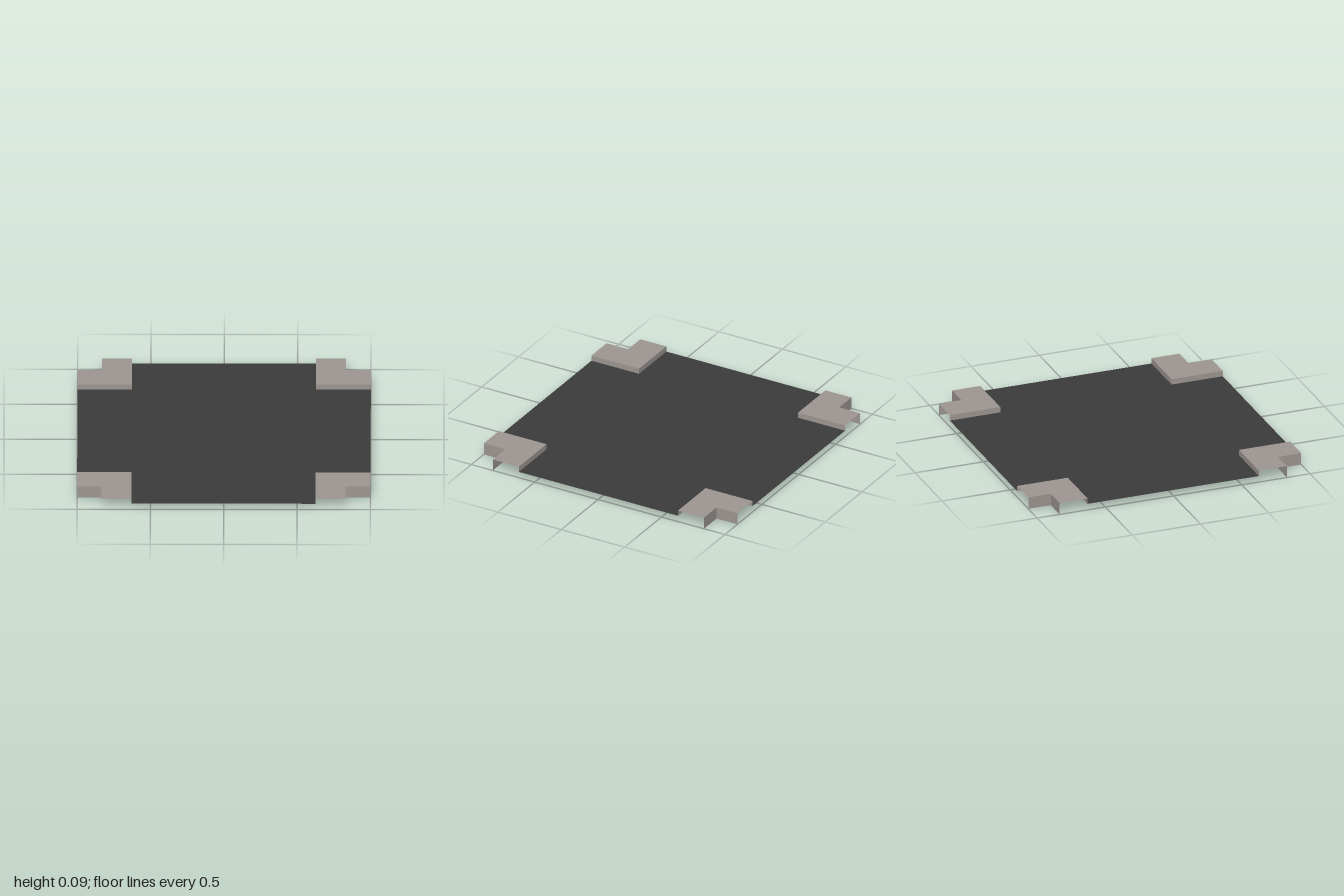
import * as THREE from 'three';

const FLOOR_Y = 0.045, TOP_Y = 0.085;

const floorMat = new THREE.MeshStandardMaterial({ color: 0x3b3b3b, side: THREE.DoubleSide });
floorMat.name = 'charcoal';
const stoneMat = new THREE.MeshStandardMaterial({ color: 0x9d9692, side: THREE.DoubleSide });
stoneMat.name = 'warm grey';

// distances from the centre to the inner edge of a corner tile and to its notch
const inner = s => s * (s < 0 ? 0.63 : 0.625);
const notch = s => s * (s < 0 ? 0.835 : 0.83);

function add(group, name, geometry, material) {
  const mesh = new THREE.Mesh(geometry, material);
  mesh.name = name;
  group.add(mesh);
}

// flat upward-facing sheet from [x, z] outline points
function sheet(points, y) {
  const shape = new THREE.Shape(points.map(([x, z]) => new THREE.Vector2(x, -z)));
  return new THREE.ShapeGeometry(shape).rotateX(-Math.PI / 2).translate(0, y, 0);
}

// upright sheet at a fixed x or z, spanning a..b on the other axis, facing dir
function wall(axis, at, a, b, y0, y1, dir) {
  const g = new THREE.PlaneGeometry(Math.abs(b - a), y1 - y0);
  const mid = (a + b) / 2, y = (y0 + y1) / 2;
  if (axis === 'x') return g.rotateY(dir * Math.PI / 2).translate(at, y, mid);
  return g.rotateY(dir > 0 ? 0 : Math.PI).translate(mid, y, at);
}

export function createModel() {
  const model = new THREE.Group();
  model.name = 'floorTile';

  // cross-shaped floor with the four corners cut out
  const n = inner(-1), p = inner(1);
  add(model, 'floor', sheet([
    [n, -1], [p, -1], [p, n], [1, n], [1, p], [p, p],
    [p, 1], [n, 1], [n, p], [-1, p], [-1, n], [n, n],
  ], FLOOR_Y), floorMat);

  // raised L-shaped corners, open along the outer border
  for (const sx of [-1, 1]) for (const sz of [-1, 1]) {
    const corner = new THREE.Group();
    corner.name = `${sz > 0 ? 'front' : 'back'}${sx > 0 ? 'Left' : 'Right'}Corner`;
    const ix = inner(sx), iz = inner(sz), nx = notch(sx), nz = notch(sz);

    add(corner, 'cornerTop', sheet(
      [[ix, iz], [sx, iz], [sx, nz], [nx, nz], [nx, sz], [ix, sz]], TOP_Y), stoneMat);
    // steps up from the floor
    add(corner, 'innerStepX', wall('x', ix, iz, sz, FLOOR_Y, TOP_Y, -sx), stoneMat);
    add(corner, 'innerStepZ', wall('z', iz, ix, sx, FLOOR_Y, TOP_Y, -sz), stoneMat);
    // full-height walls of the outer notch
    add(corner, 'notchWallX', wall('x', nx, nz, sz, 0, TOP_Y, sx), stoneMat);
    add(corner, 'notchWallZ', wall('z', nz, nx, sx, 0, TOP_Y, sz), stoneMat);
    model.add(corner);
  }
  return model;
}
